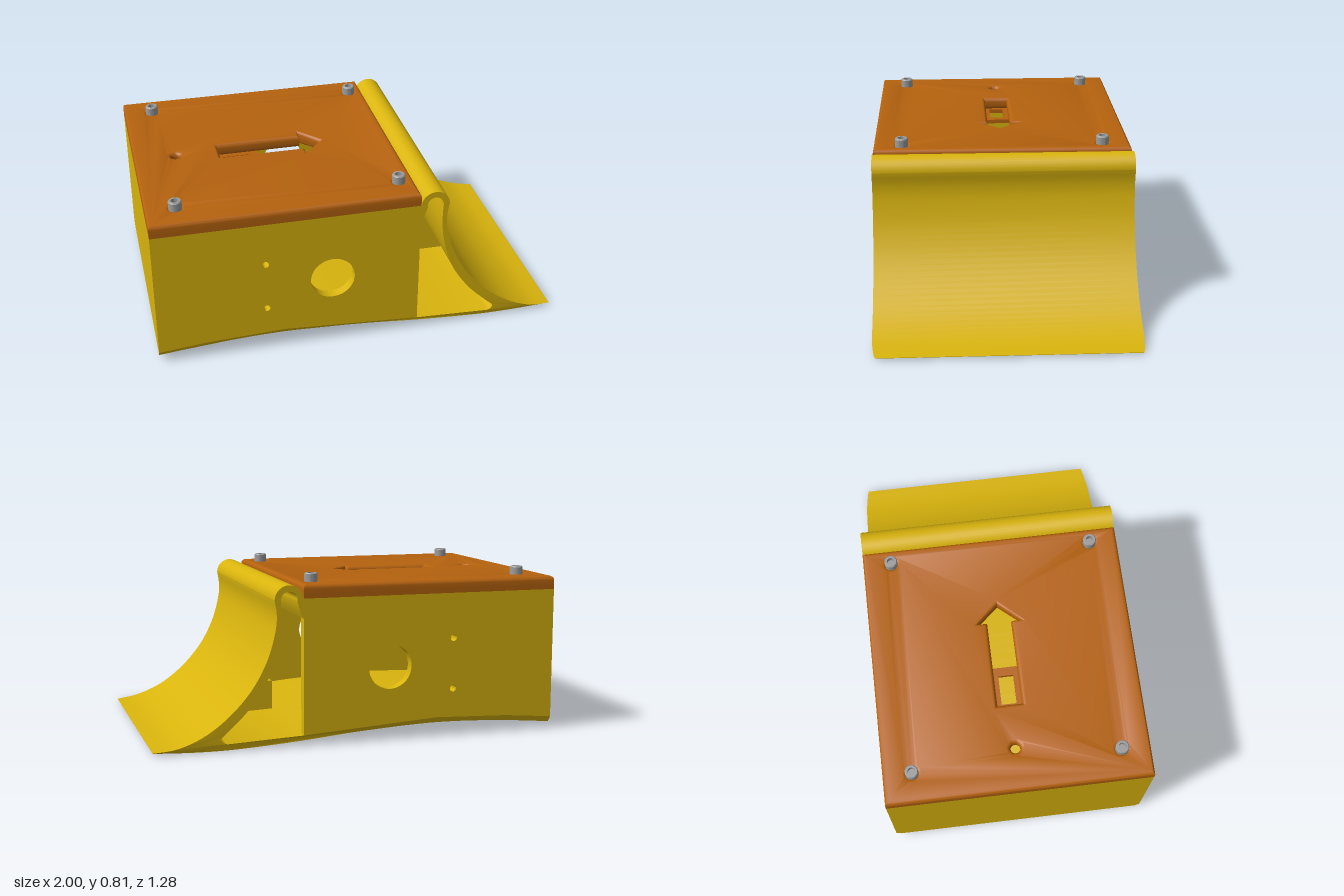
import * as THREE from 'three';
import { toCreasedNormals } from 'three/addons/utils/BufferGeometryUtils.js';

const HALF = 0.64;   // half width in z
const WALL = 0.05;   // wall thickness
const BACK = -1, FRONT = 0.285, TOP = 0.705;

const v2 = (pts) => pts.map(([x, y]) => new THREE.Vector2(x, y));
const spline = (pts, n) => new THREE.SplineCurve(v2(pts)).getPoints(n);

// Underside curve, running from the back edge to the tip of the scoop
const underside = spline([[-1, 0.03], [-0.7, 0.056], [-0.37, 0.066], [0, 0.048], [0.3, 0.022],
  [0.6, 0.004], [0.8, 0.003], [1, 0.012]], 50);
function undersideY(x) {
  for (let i = 1; i < underside.length; i++) {
    const a = underside[i - 1], b = underside[i];
    if (x <= b.x) return a.y + (b.y - a.y) * (x - a.x) / (b.x - a.x);
  }
  return underside[underside.length - 1].y;
}

// Inner face of the scoop, from the hook down to the pocket
const scoopInner = spline([[0.395, 0.69], [0.393, 0.62], [0.4, 0.53], [0.425, 0.42], [0.47, 0.31],
  [0.55, 0.195], [0.64, 0.105], [0.682, 0.066], [0.67, 0.042]], 36);

export function createModel() {
  const yellow = new THREE.MeshStandardMaterial({ color: 0xd9b40d });
  yellow.name = 'yellow';
  const orange = new THREE.MeshStandardMaterial({ color: 0xb5620e });
  orange.name = 'orange';
  const grey = new THREE.MeshStandardMaterial({ color: 0x9c9c9c });
  grey.name = 'grey';

  const model = new THREE.Group();
  model.name = 'wedgeBox';
  const add = (name, geometry, material, x = 0, y = 0, z = 0) => {
    const mesh = new THREE.Mesh(geometry, material);
    mesh.name = name;
    mesh.position.set(x, y, z);
    model.add(mesh);
    return mesh;
  };
  const extrude = (shape, depth, z) => {
    const g = new THREE.ExtrudeGeometry(shape, { depth, bevelEnabled: false, curveSegments: 40 });
    return g.translate(0, 0, z);
  };
  const hole = (x, y, r) => new THREE.Path().absarc(x, y, r, 0, Math.PI * 2, true);

  // Floor, scoop and hook as one full-width profile
  const scoopOuter = spline([[1, 0.014], [0.88, 0.032], [0.75, 0.088], [0.63, 0.18], [0.53, 0.295],
    [0.46, 0.425], [0.423, 0.55], [0.415, 0.63], [0.425, 0.7]], 40);
  const arc = (r, from, to) => Array.from({ length: 17 }, (_, i) => {
    const a = from + (to - from) * i / 16;
    return new THREE.Vector2(0.355 + r * Math.cos(a), 0.7 + r * Math.sin(a));
  });
  const floorTop = underside.filter((p) => p.x < FRONT - 0.01)
    .map((p) => new THREE.Vector2(p.x, p.y + 0.03)).reverse();
  const profile = new THREE.Shape([
    ...underside, ...scoopOuter, ...arc(0.07, 0.05, Math.PI),
    ...v2([[0.285, 0.61], [0.3, 0.64], [0.316, 0.69]]),
    ...arc(0.04, Math.PI, 0), ...scoopInner,
    ...v2([[0.655, 0.037], [FRONT, 0.053]]), ...floorTop,
  ]);
  const base = extrude(profile, HALF * 2, -HALF);
  // Round the lower side edges, which also trims the corners of the tip
  const p = base.attributes.position, R = 0.04;
  for (let i = 0; i < p.count; i++) {
    const h = Math.max(0, p.getY(i) - undersideY(p.getX(i)) + 0.004);
    if (h < R) {
      const inset = R - Math.sqrt(R * R - (R - h) ** 2);
      p.setZ(i, Math.sign(p.getZ(i)) * (HALF - inset));
    }
  }
  add('floorAndScoop', toCreasedNormals(base, 0.5), yellow);

  // Side walls with an axle hole and two small holes
  const side = new THREE.Shape([
    ...v2([[FRONT, TOP], [BACK, TOP]]),
    ...floorTop.slice().reverse(), ...v2([[FRONT, 0.053]]),
  ]);
  side.holes.push(hole(-0.145, 0.36, 0.108), hole(-0.47, 0.485, 0.016), hole(-0.47, 0.235, 0.016));
  const sideGeometry = toCreasedNormals(extrude(side, WALL, 0), 0.5);
  add('leftWall', sideGeometry, yellow, 0, 0, HALF - WALL);
  add('rightWall', sideGeometry, yellow, 0, 0, -HALF);

  // Back wall and the lintel that carries the hook
  const inner = (HALF - WALL) * 2;
  add('backWall', new THREE.BoxGeometry(WALL, TOP - 0.05, inner), yellow,
    BACK + WALL / 2, (TOP + 0.05) / 2, 0);
  add('frontLintel', new THREE.BoxGeometry(0.04, 0.095, inner), yellow, FRONT - 0.02, TOP - 0.0475, 0);

  // Rib that braces the scoop from behind
  const rib = new THREE.Shape([
    ...v2([[FRONT, 0.045], [FRONT, 0.2], [0.4, 0.2]]),
    ...scoopInner.filter((q) => q.y < 0.31),
  ]);
  add('scoopRib', toCreasedNormals(extrude(rib, 0.06, -0.03), 0.5), yellow);

  // Lid with chamfered arrow cutout, a small hole and four screw holes
  const screwSpots = [-0.86, 0.21].flatMap((x) => [-0.5, 0.5].map((z) => [x, z]));
  const lid = new THREE.Shape(v2([[BACK, -HALF], [FRONT, -HALF], [FRONT, HALF], [BACK, HALF]]));
  lid.holes.push(new THREE.Path(v2([[-0.58, -0.06], [-0.58, 0.06], [-0.155, 0.06], [-0.155, 0.105],
    [-0.065, 0], [-0.155, -0.105], [-0.155, -0.06]])));
  lid.holes.push(hole(-0.795, 0, 0.024));
  screwSpots.forEach(([x, z]) => lid.holes.push(hole(x, z, 0.024)));
  const lidGeometry = new THREE.ExtrudeGeometry(lid, {
    depth: 0.025, bevelEnabled: true, bevelThickness: 0.02, bevelSize: 0.02,
    bevelOffset: -0.02, bevelSegments: 4, curveSegments: 16,
  });
  // Hold the lower edge square
  const lp = lidGeometry.attributes.position;
  for (let i = 0; i < lp.count; i++) {
    if (lp.getZ(i) > 0.001) continue;
    if (lp.getX(i) > FRONT - 0.021) lp.setX(i, FRONT);
    if (lp.getX(i) < BACK + 0.021) lp.setX(i, BACK);
    if (Math.abs(lp.getY(i)) > HALF - 0.021) lp.setY(i, Math.sign(lp.getY(i)) * HALF);
  }
  lidGeometry.rotateX(-Math.PI / 2);
  add('lid', toCreasedNormals(lidGeometry, 0.6), orange, 0, TOP + 0.02, 0);

  // Small frame in the tail of the arrow
  const frame = new THREE.Shape(v2([[-0.6, -0.075], [-0.375, -0.075], [-0.375, 0.075], [-0.6, 0.075]]));
  frame.holes.push(new THREE.Path(v2([[-0.562, -0.037], [-0.562, 0.037], [-0.418, 0.037], [-0.418, -0.037]])));
  add('arrowFrame', extrude(frame, 0.02, 0).rotateX(-Math.PI / 2), orange, 0, TOP - 0.015, 0);

  // Screws with socket heads
  const screwGeometry = toCreasedNormals(new THREE.LatheGeometry(v2([[0, -0.2], [0.019, -0.2], [0.019, 0],
    [0.032, 0], [0.032, 0.043], [0.028, 0.048], [0.018, 0.048], [0.018, 0.02], [0, 0.02]]), 24), 0.5);
  screwSpots.forEach(([x, z]) => add('screw', screwGeometry, grey, x, 0.762, z));

  return model;
}
